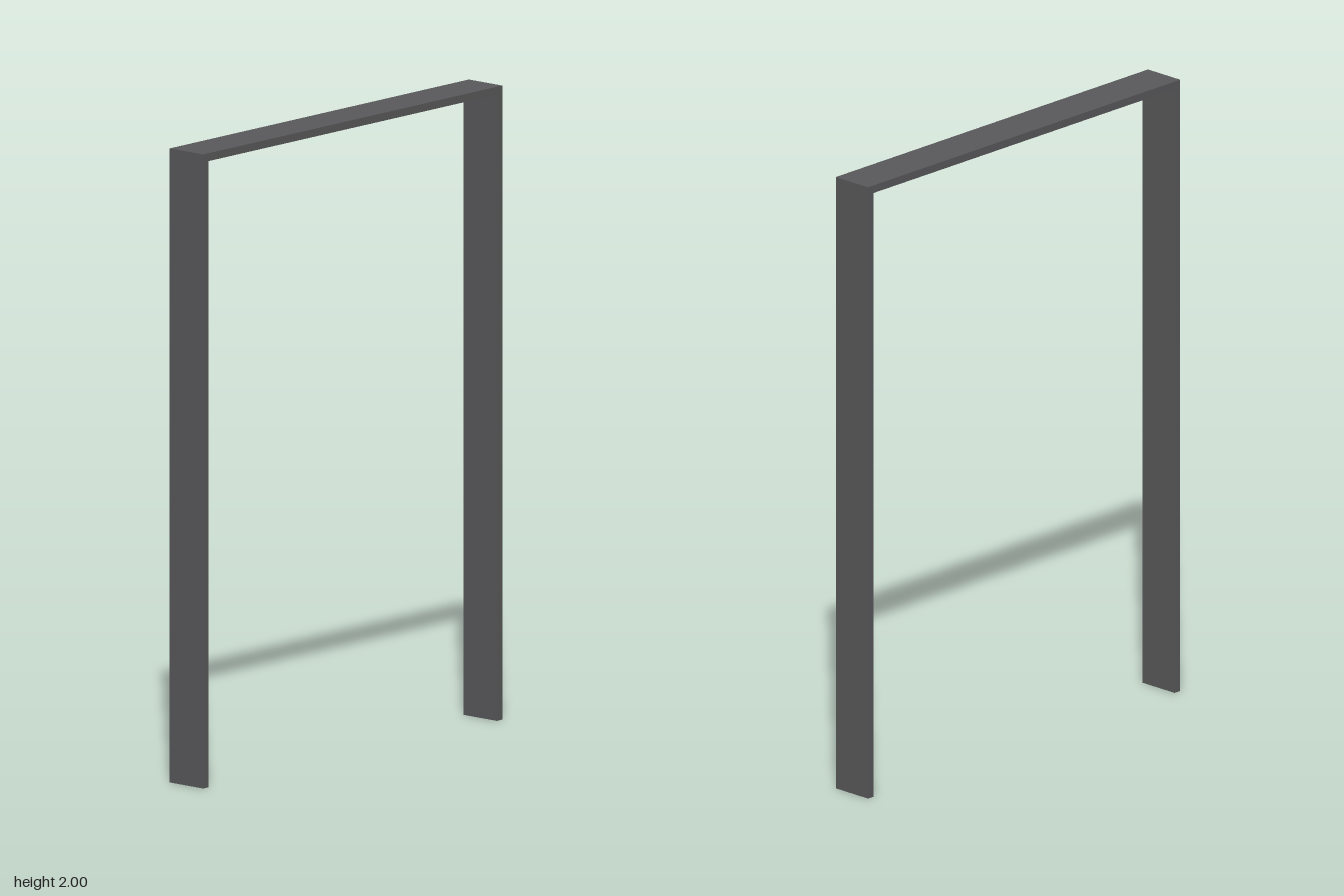
import * as THREE from 'three';

export function createModel() {
  const group = new THREE.Group();
  group.name = 'doorFrame';
  const darkGrey = new THREE.MeshStandardMaterial({ color: 0x5a5a5c });
  darkGrey.name = 'darkGrey';

  const half = 0.696, height = 2, depth = 0.138, board = 0.025;
  const inner = half - board, underside = height - board;

  // Two jambs and the head as one continuous outline, open at the floor
  const outline = new THREE.Shape([
    [-half, 0], [-inner, 0], [-inner, underside], [inner, underside],
    [inner, 0], [half, 0], [half, height], [-half, height],
  ].map(([x, y]) => new THREE.Vector2(x, y)));
  const geometry = new THREE.ExtrudeGeometry(outline, { depth, bevelEnabled: false });
  geometry.translate(0, 0, -depth / 2);

  const frame = new THREE.Mesh(geometry, darkGrey);
  frame.name = 'frame';
  // The frame stands turned about the vertical axis
  frame.rotation.y = THREE.MathUtils.degToRad(24.25);
  group.add(frame);
  return group;
}
